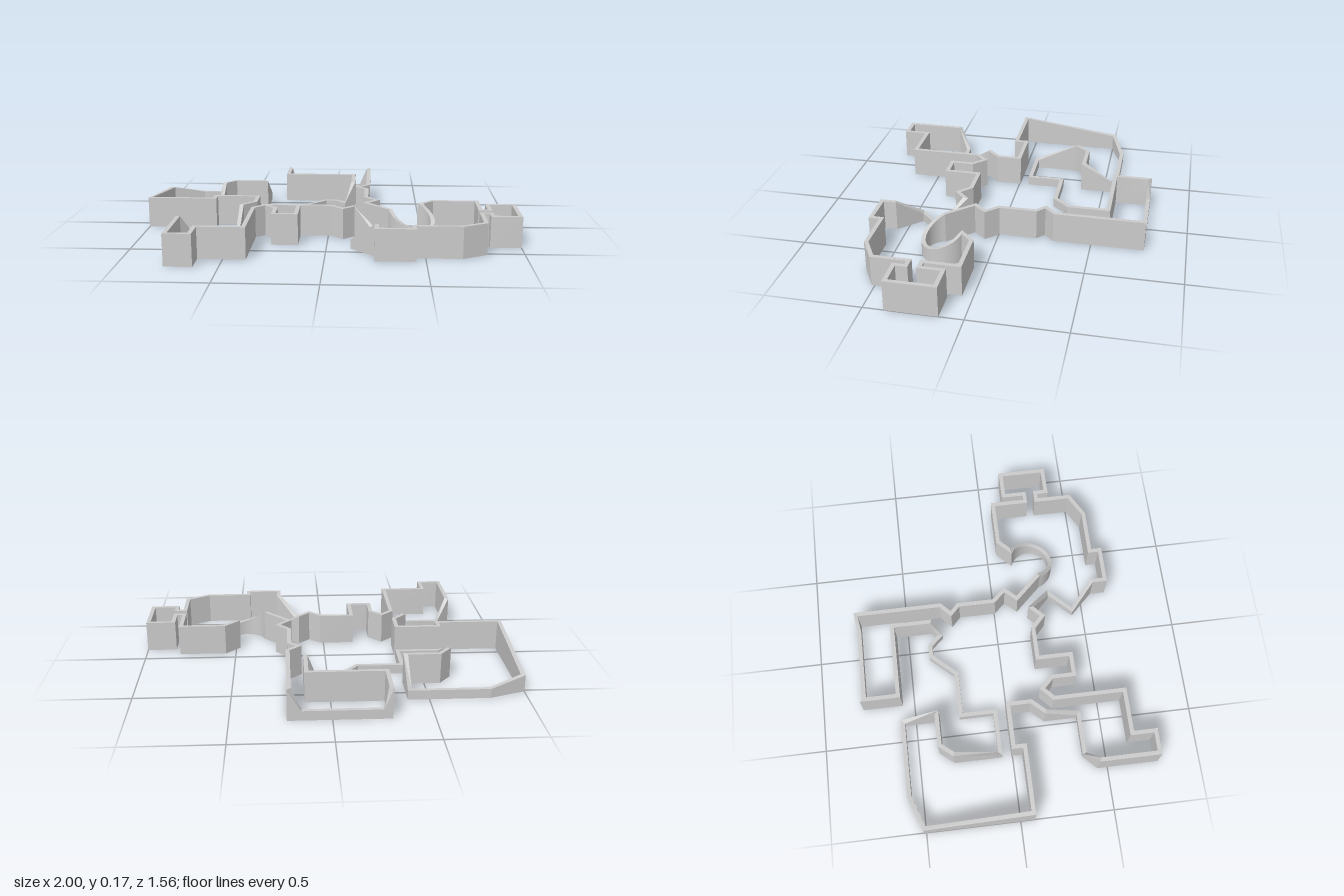
import * as THREE from 'three';
import { toCreasedNormals } from 'three/addons/utils/BufferGeometryUtils.js';

const H = 0.165;   // full wall height
const L = 0.05;    // height of the low walls
const T = 0.011;   // half the wall thickness

// Round alcove: an arc whose wall dips in the middle
function alcove() {
  const points = [];
  const steps = 24;
  for (let i = 0; i <= steps; i++) {
    const t = i / steps;
    const a = THREE.MathUtils.degToRad(-62 + 225 * t);
    const h = H - 0.09 * Math.sin(Math.PI * t);
    points.push([0.44 + 0.115 * Math.cos(a), 0.235 + 0.115 * Math.sin(a), h]);
  }
  return points;
}

// Centre line of the wall as [x, z, height]; height defaults to full
const sections = {
  westRoomWall: [
    [-0.4, -0.38], [-0.4, -0.57, L], [-0.81, -0.57, L], [-0.99, -0.505, 0.09], [-0.99, 0.065],
    [-0.635, 0.065], [-0.635, 0.005], [-0.4, 0.005], [-0.4, 0.13], [-0.465, 0.2],
  ],
  southWestRoomWall: [
    [-0.465, 0.385, L], [-0.69, 0.385, L], [-0.757, 0.45], [-0.757, 0.764], [-0.637, 0.764],
    [-0.637, 0.637], [-0.396, 0.637], [-0.396, 0.255], [-0.337, 0.2],
  ],
  southWall: [
    [-0.277, 0.26], [-0.277, 0.38], [-0.16, 0.38], [-0.16, 0.197], [0.015, 0.197],
    [0.08, 0.257], [0.14, 0.2], [0.26, 0.317, L], [0.14, 0.44, L],
  ],
  eastRoomWall: [
    [0.256, 0.56], [0.256, 0.635], [0.44, 0.635], [0.44, 0.578], [0.68, 0.578], [0.8, 0.51], [0.8, 0.32],
  ],
  eastClosetWall: [
    [0.85, 0.32], [0.85, 0.382], [0.99, 0.382], [0.99, 0.135], [0.85, 0.135], [0.85, 0.255],
  ],
  eastRoomBackWall: [[0.8, 0.255], [0.8, 0.067], [0.56, 0.067]],
  alcoveWall: alcove(),
  corridorWall: [
    [0.2, 0.13], [0.26, 0.065], [0.2, 0], [0.2, -0.2], [0.152, -0.245], [0.21, -0.3],
  ],
  northRoomWall: [
    [0.21, -0.77], [0.15, -0.77, L], [-0.25, -0.77, L], [-0.283, -0.77], [-0.283, -0.575],
    [0.12, -0.575], [0.12, -0.36],
  ],
  centralLowWall: [
    [0.075, -0.32, L], [0.02, -0.38, L], [-0.045, -0.38, L], [-0.16, -0.252, L],
    [-0.4, -0.252, L], [-0.4, -0.065, L], [-0.637, -0.065, L], [-0.637, -0.31], [-0.58, -0.38],
  ],
};

// Mitred cross-section at point i of the closed path
function crossSection(path, i) {
  const n = path.length;
  const [px, pz] = path[(i + n - 1) % n];
  const [x, z, h = H] = path[i];
  const [qx, qz] = path[(i + 1) % n];
  const a = new THREE.Vector2(x - px, z - pz).normalize();
  const b = new THREE.Vector2(qx - x, qz - z).normalize();
  const side = new THREE.Vector2(-a.y - b.y, a.x + b.x).normalize();
  const m = T / Math.max(0.5, side.dot(new THREE.Vector2(-a.y, a.x)));
  const ox = side.x * m, oz = side.y * m;
  return [[x + ox, 0, z + oz], [x + ox, h, z + oz], [x - ox, h, z - oz], [x - ox, 0, z - oz]];
}

// Joins successive cross-sections into a wall
function wallGeometry(rings) {
  const positions = [];
  for (let i = 0; i < rings.length - 1; i++) {
    for (let k = 0; k < 4; k++) {
      const l = (k + 1) % 4;
      const a = rings[i][k], b = rings[i][l], c = rings[i + 1][l], d = rings[i + 1][k];
      positions.push(...a, ...c, ...b, ...a, ...d, ...c);
    }
  }
  const geometry = new THREE.BufferGeometry();
  geometry.setAttribute('position', new THREE.Float32BufferAttribute(positions, 3));
  return toCreasedNormals(geometry, 0.3);
}

export function createModel() {
  const group = new THREE.Group();
  group.name = 'floorPlanWalls';
  const material = new THREE.MeshStandardMaterial({ color: 0xcccccc, side: THREE.DoubleSide });
  const path = Object.values(sections).flat();
  const rings = path.map((_, i) => crossSection(path, i));

  // Each section runs on to the first point of the next, closing the loop
  let start = 0;
  for (const [name, points] of Object.entries(sections)) {
    const part = [];
    for (let i = 0; i <= points.length; i++) part.push(rings[(start + i) % rings.length]);
    const mesh = new THREE.Mesh(wallGeometry(part), material);
    mesh.name = name;
    group.add(mesh);
    start += points.length;
  }
  return group;
}
